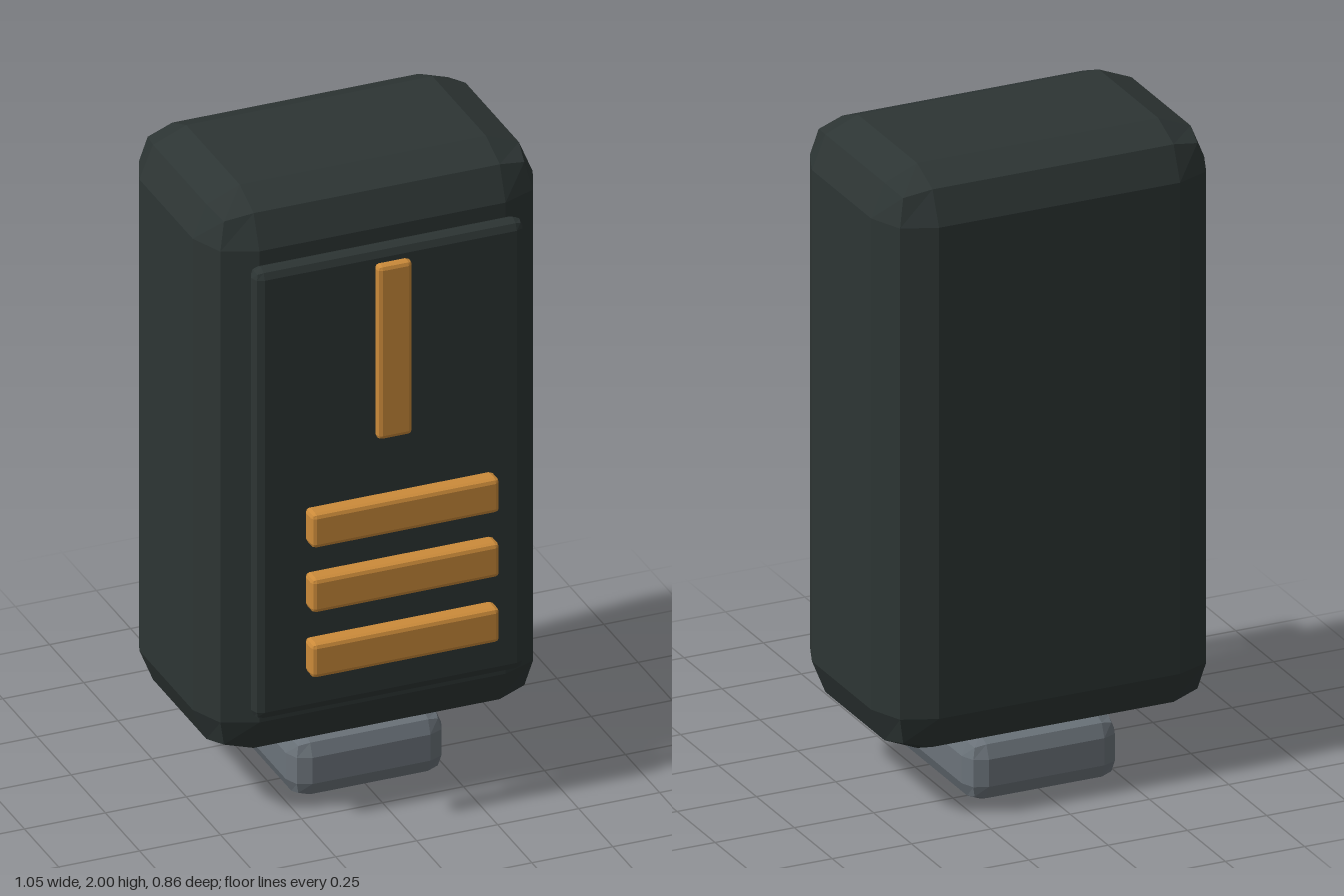
import * as THREE from 'three';
import { RoundedBoxGeometry } from 'three/addons/geometries/RoundedBoxGeometry.js';

const paint = (name, color) => {
  const m = new THREE.MeshStandardMaterial({ color, flatShading: true });
  m.name = name;
  return m;
};

export function createModel() {
  const group = new THREE.Group();
  const casing = paint('dark casing', 0x2d3534);
  const metal = paint('grey metal', 0x6b737a);
  const amber = paint('amber', 0xcc8b3a);

  // Box with two-step bevels, given by its size and centre
  const block = (name, material, size, centre, radius) => {
    const mesh = new THREE.Mesh(new RoundedBoxGeometry(...size, 1, radius), material);
    mesh.name = name;
    mesh.position.set(...centre);
    group.add(mesh);
  };

  block('body', casing, [1.05, 1.808, 0.68], [0, 1.096, -0.09], 0.145);
  block('base', metal, [0.48, 0.2, 0.514], [0, 0.1, -0.088], 0.058);
  block('frontPanel', casing, [0.836, 1.45, 0.062], [0, 1.096, 0.28], 0.029);

  // Upright marker and three raised slats
  block('uprightBar', amber, [0.108, 0.56, 0.036], [0, 1.503, 0.33], 0.014);
  [1.015, 0.807, 0.597].forEach((y, i) =>
    block(`slat${i + 1}`, amber, [0.58, 0.11, 0.062], [0, y, 0.395], 0.014));

  return group;
}
